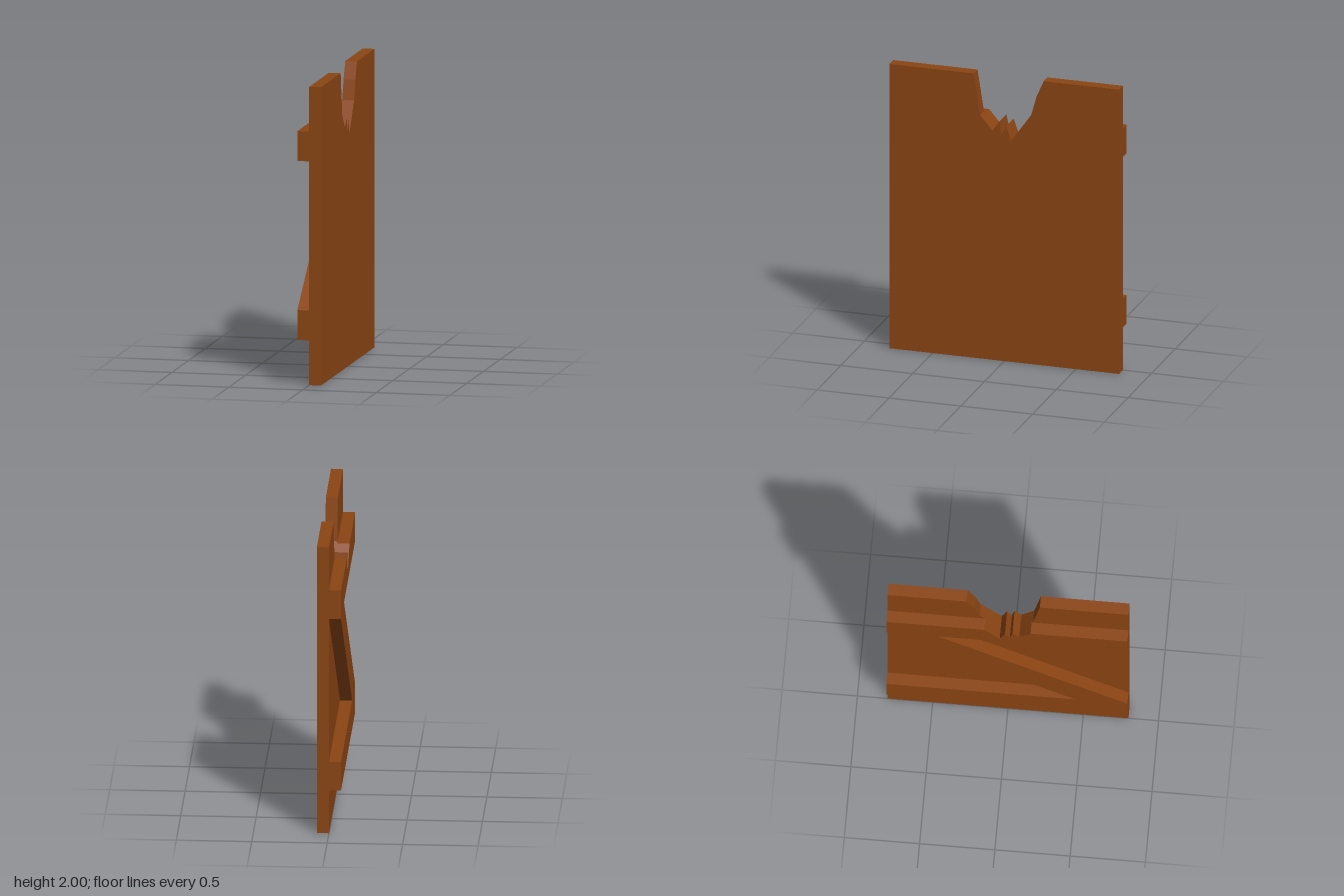
import * as THREE from 'three';

const THICK = 0.08;
const wood = new THREE.MeshStandardMaterial({ color: 0x8b4513, flatShading: true });

// Jagged lower part of the broken notch, as [z, y] from front to back
const splinters = [
  [0.082, 1.613], [0.037, 1.679], [0.019, 1.589], [-0.013, 1.653], [-0.048, 1.555],
];

// Extrude a [z, y] outline from x = startX towards -x
function board(name, outline, startX) {
  const shape = new THREE.Shape(outline.map(([z, y]) => new THREE.Vector2(z, y)));
  const geometry = new THREE.ExtrudeGeometry(shape, { depth: THICK, bevelEnabled: false });
  geometry.rotateY(-Math.PI / 2);
  geometry.translate(startX, 0, 0);
  const mesh = new THREE.Mesh(geometry, wood);
  mesh.name = name;
  return mesh;
}

export function createModel() {
  const group = new THREE.Group();
  group.name = 'brokenDoor';

  // Main panel with the broken top edge
  group.add(board('panel', [
    [-0.8, 0], [0.8, 0], [0.8, 2], [0.212, 2], [0.167, 1.711],
    ...splinters,
    [-0.188, 1.753], [-0.225, 1.886], [-0.275, 2], [-0.8, 2],
  ], THICK));

  // Z-shaped brace: two rails joined by a diagonal, broken at the same notch
  group.add(board('brace', [
    [-0.8, 0.3], [0.8, 0.3], [0.8, 0.5], [-0.456, 1.5], [0.8, 1.5], [0.8, 1.7], [0.157, 1.7],
    ...splinters,
    [-0.15, 1.7], [-0.8, 1.7], [-0.8, 1.5], [0.456, 0.5], [-0.8, 0.5],
  ], 0));

  return group;
}
